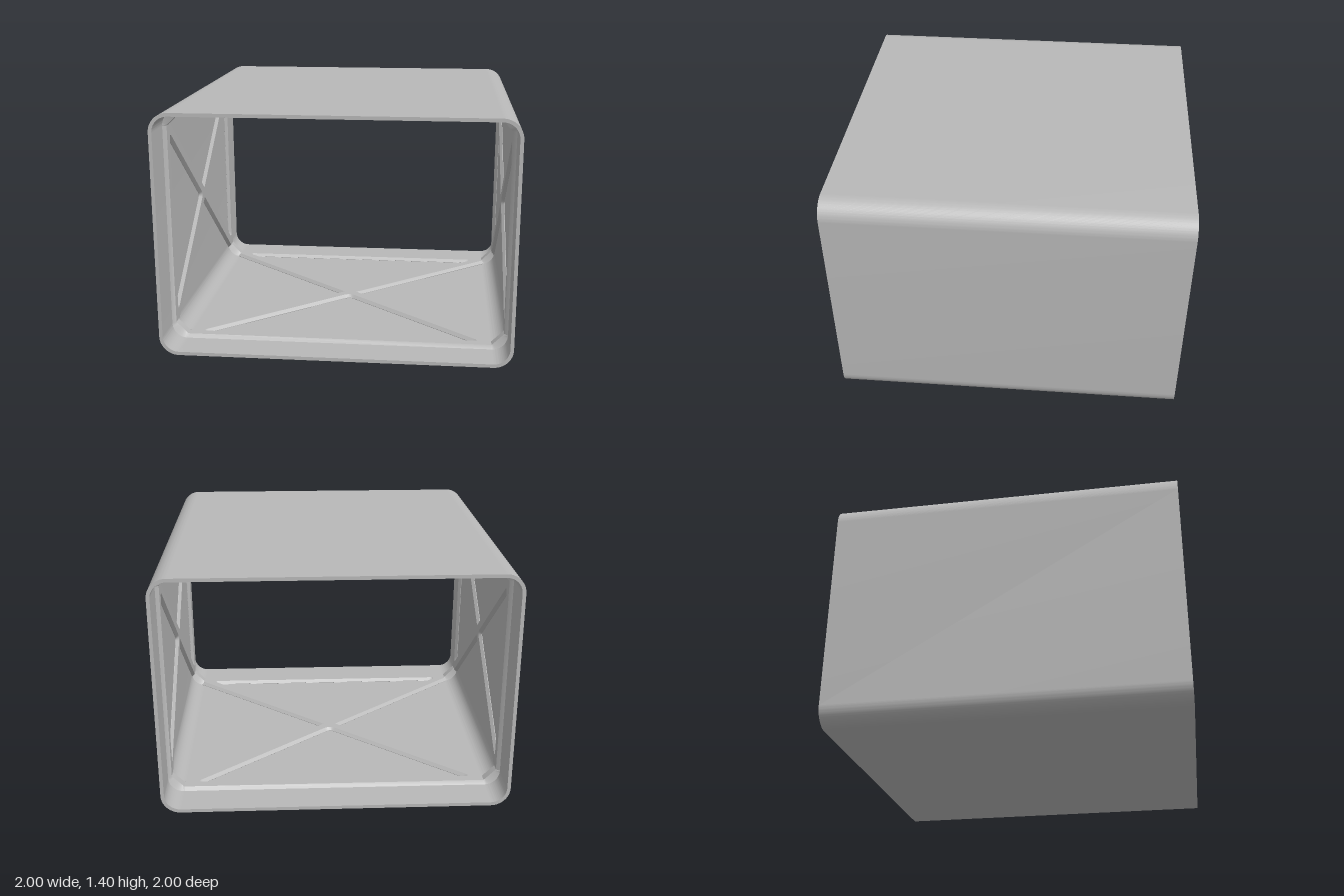
import * as THREE from 'three';
import { toCreasedNormals } from 'three/addons/utils/BufferGeometryUtils.js';

const CX = 0.89, CY = 0.59;       // corner arc centres, measured from the tube axis
const OUTER_R = 0.11, INNER_R = 0.09;
const RIB_TOP = 0.04;             // rib height above the outer skin

// Rounded rectangle around the tube axis
function roundedRect(ShapeType, r) {
  const s = new ShapeType();
  s.absarc(CX, CY, r, 0, Math.PI / 2);
  s.absarc(-CX, CY, r, Math.PI / 2, Math.PI);
  s.absarc(-CX, -CY, r, Math.PI, Math.PI * 1.5);
  s.absarc(CX, -CY, r, Math.PI * 1.5, Math.PI * 2);
  s.closePath();
  return s;
}

// Closed polygon with softened corners
function softPolygon(points, r) {
  const path = new THREE.Path();
  const pts = points.map(([x, y]) => new THREE.Vector2(x, y));
  pts.forEach((p, i) => {
    const prev = pts[(i + pts.length - 1) % pts.length];
    const next = pts[(i + 1) % pts.length];
    const a = prev.clone().sub(p).setLength(r).add(p);
    const b = next.clone().sub(p).setLength(r).add(p);
    if (i === 0) path.moveTo(a.x, a.y);
    else path.lineTo(a.x, a.y);
    path.quadraticCurveTo(p.x, p.y, b.x, b.y);
  });
  path.closePath();
  return path;
}

// Crossed ribs for one wall, with sloped sides and rounded end pockets
function braceGeometry(h) {
  const L = 0.75, w = 0.025, pocketEnd = 0.73;
  const len = Math.hypot(h, L);
  const tipX = (w * len) / L, tipY = (w * len) / h;
  const shape = new THREE.Shape();
  shape.moveTo(-h, -L);
  shape.lineTo(h, -L);
  shape.lineTo(h, -(L - tipY));
  shape.lineTo(tipX, 0);
  shape.lineTo(h, L - tipY);
  shape.lineTo(h, L);
  shape.lineTo(-h, L);
  shape.lineTo(-h, L - tipY);
  shape.lineTo(-tipX, 0);
  shape.lineTo(-h, -(L - tipY));
  shape.closePath();
  const px = ((pocketEnd - tipY) * h) / L;
  for (const s of [1, -1]) {
    shape.holes.push(softPolygon([[0, s * tipY], [s * px, s * pocketEnd], [-s * px, s * pocketEnd]], 0.05));
  }
  const geo = new THREE.ExtrudeGeometry(shape, {
    depth: 0.002, bevelEnabled: true, bevelThickness: 0.017, bevelSize: 0.018, bevelSegments: 1, curveSegments: 6,
  });
  geo.translate(0, 0, RIB_TOP - 0.019);
  geo.rotateX(-Math.PI / 2);
  return toCreasedNormals(geo, 0.5);
}

// Frame ring: round at the wall, chamfered at its inner opening
function ringGeometry() {
  const N = 8;
  const profile = [[0.8, false], [0.78, true], [0.73, true], [0.71, false]];
  const signs = [[1, 1], [-1, 1], [-1, -1], [1, -1]];
  const pos = [], index = [];
  for (const [z, top] of profile) {
    signs.forEach(([sx, sy], q) => {
      for (let j = 0; j <= N; j++) {
        const t = j / N, a0 = (q * Math.PI) / 2, a = a0 + (t * Math.PI) / 2;
        let dx = Math.cos(a) * (INNER_R + 0.002), dy = Math.sin(a) * (INNER_R + 0.002);
        if (top) {
          dx = 0.07 * (Math.cos(a0) * (1 - t) - Math.sin(a0) * t);
          dy = 0.07 * (Math.sin(a0) * (1 - t) + Math.cos(a0) * t);
        }
        pos.push(sx * CX + dx, sy * CY + dy, z);
      }
    });
  }
  const M = 4 * (N + 1);
  for (let k = 0; k < profile.length - 1; k++) {
    for (let i = 0; i < M; i++) {
      const n = (i + 1) % M;
      const a = k * M + i, c = k * M + n, b = a + M, d = c + M;
      index.push(a, c, b, c, d, b);
    }
  }
  const geo = new THREE.BufferGeometry();
  geo.setAttribute('position', new THREE.Float32BufferAttribute(pos, 3));
  geo.setIndex(index);
  return toCreasedNormals(geo, 0.5);
}

export function createModel() {
  const group = new THREE.Group();
  const grey = new THREE.MeshStandardMaterial({ color: 0xb8b8b8 });
  grey.name = 'grey';
  const add = (name, geo) => {
    const mesh = new THREE.Mesh(geo, grey);
    mesh.name = name;
    mesh.position.y = 0.7;
    group.add(mesh);
    return mesh;
  };

  // Thin open-ended tube
  const outline = roundedRect(THREE.Shape, OUTER_R);
  outline.holes.push(roundedRect(THREE.Path, INNER_R));
  const shell = new THREE.ExtrudeGeometry(outline, { depth: 2, bevelEnabled: false, curveSegments: 14 });
  shell.translate(0, 0, -1);
  add('shell', toCreasedNormals(shell, 0.5));

  // Frame rings near both openings
  const ring = ringGeometry();
  add('frontRing', ring);
  add('backRing', ring).rotation.y = Math.PI;

  // Crossed ribs on all four walls
  ['floorBrace', 'leftBrace', 'ceilingBrace', 'rightBrace'].forEach((name, k) => {
    const side = k % 2 === 1;
    const geo = braceGeometry(side ? CY : CX);
    geo.translate(0, side ? -1 : -0.7, 0);
    add(name, geo).rotation.z = (k * Math.PI) / 2;
  });
  return group;
}
